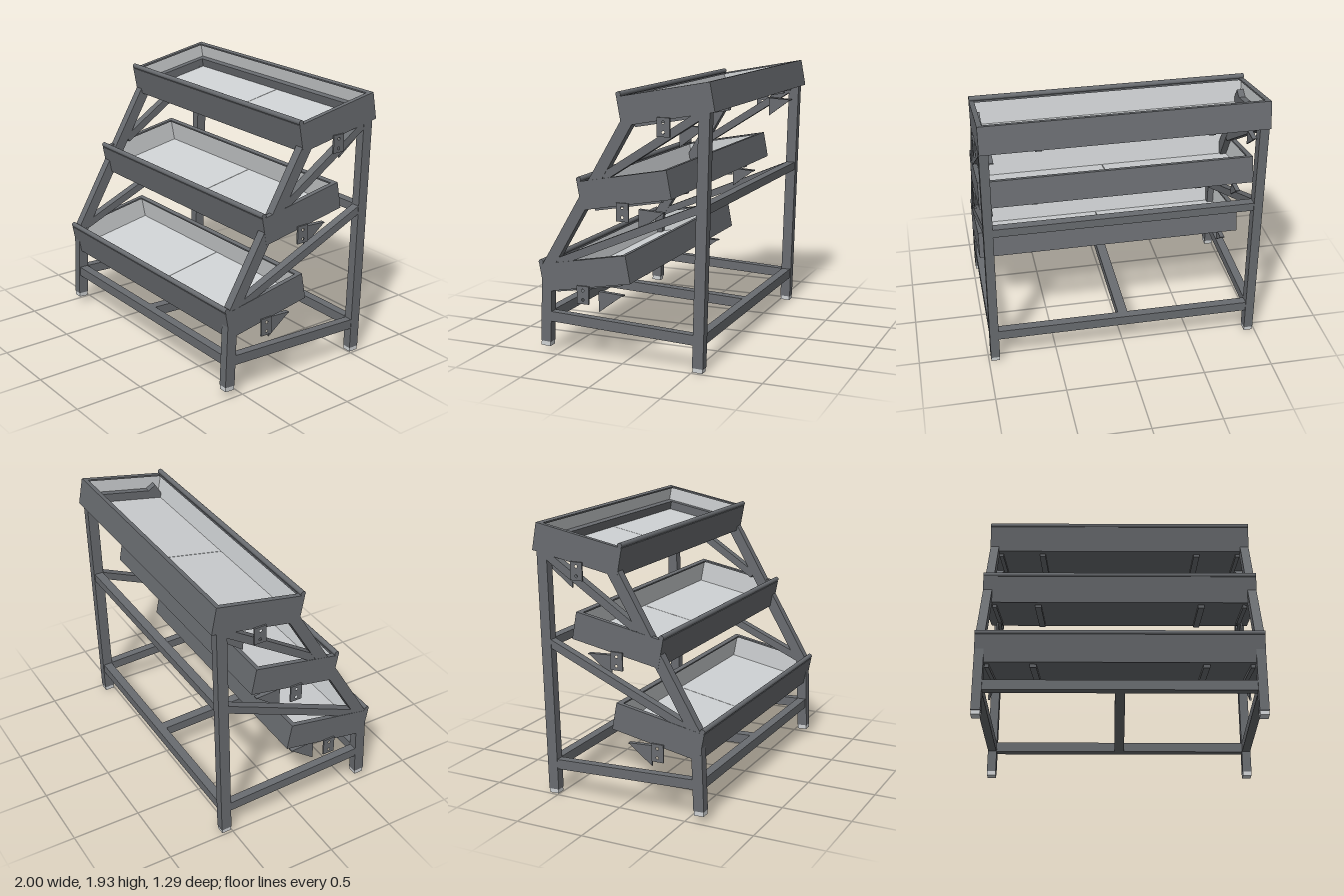
import * as THREE from 'three';

const paint = new THREE.MeshStandardMaterial({ color: 0x696c70 });
paint.name = 'dark grey paint';
const pale = new THREE.MeshStandardMaterial({ color: 0xcfd2d4 });
pale.name = 'pale grey panel';

const TILT = THREE.MathUtils.degToRad(10.5);
const HALF = 0.985;      // half width of the stand
const POST_X = 0.952;    // centre line of the side frames
const DEPTH = 0.665, HEIGHT = 0.195;

function add(parent, name, geometry, material, x = 0, y = 0, z = 0) {
  const mesh = new THREE.Mesh(geometry, material);
  mesh.name = name;
  mesh.position.set(x, y, z);
  parent.add(mesh);
  return mesh;
}

function box(parent, name, size, pos, material = paint) {
  return add(parent, name, new THREE.BoxGeometry(...size), material, ...pos);
}

// Square tube in a side plane, between two [z, y] points
function beam(parent, name, x, a, b, width, thick, material = paint) {
  const dz = b[0] - a[0], dy = b[1] - a[1];
  const mesh = box(parent, name, [width, Math.hypot(dz, dy), thick],
    [x, (a[1] + b[1]) / 2, (a[0] + b[0]) / 2], material);
  mesh.rotation.x = Math.atan2(dz, dy);
  return mesh;
}

// Flat plate drawn in the side plane as [z, y] points, extruded along x
function sidePlate(parent, name, points, holes, thick, x) {
  const shape = new THREE.Shape(points.map(([z, y]) => new THREE.Vector2(-z, y)));
  for (const [z, y, r] of holes) {
    const hole = new THREE.Path();
    hole.absarc(-z, y, r, 0, Math.PI * 2, true);
    shape.holes.push(hole);
  }
  const geo = new THREE.ExtrudeGeometry(shape, { depth: thick, bevelEnabled: false, curveSegments: 6 });
  geo.translate(0, 0, -thick / 2);
  geo.rotateY(Math.PI / 2);
  return add(parent, name, geo, paint, x);
}

// Tilted open tray; its local origin is the top back edge
function makeTray(z, y, framed) {
  const tray = new THREE.Group();
  tray.name = 'tray';
  tray.position.set(0, y, z);
  tray.rotation.x = TILT;
  const t = 0.012, rim = 0.035, mid = DEPTH / 2, W = HALF * 2;

  // Shell
  box(tray, 'trayBottom', [W, t, DEPTH], [0, -HEIGHT + t / 2, mid]);
  for (const end of [0, 1]) {
    const s = end ? -1 : 1, zz = end ? DEPTH : 0;
    box(tray, 'trayEndWall', [W, HEIGHT, t], [0, -HEIGHT / 2, zz + s * t / 2]);
    box(tray, 'trayRim', [W, t, rim], [0, -t / 2, zz + s * rim / 2]);
    box(tray, 'liningEnd', [W - 2 * t, HEIGHT - 2 * t, 0.006],
      [0, -HEIGHT / 2, zz + s * (t + 0.003)], pale);
  }
  for (const s of [-1, 1]) {
    box(tray, 'traySideWall', [t, HEIGHT, DEPTH], [s * (HALF - t / 2), -HEIGHT / 2, mid]);
    box(tray, 'traySideRim', [rim, t, DEPTH], [s * (HALF - rim / 2), -t / 2, mid]);
    box(tray, 'liningSide', [0.006, HEIGHT - 2 * t, DEPTH - 2 * t],
      [s * (HALF - t - 0.003), -HEIGHT / 2, mid], pale);
    // Floor panels with a narrow seam between them
    box(tray, 'floorPanel', [HALF - t - 0.002, 0.008, DEPTH - 2 * t],
      [s * (HALF - t + 0.002) / 2, -HEIGHT + t + 0.004, mid], pale);
    // Runners under the tray
    box(tray, 'runner', [0.045, 0.022, 0.55], [s * 0.59, -HEIGHT - 0.011, 0.325]);
    box(tray, 'sideRunner', [0.03, 0.022, 0.5], [s * 0.905, -HEIGHT - 0.011, 0.35]);
    // Inner tube frame of the highest tray
    if (framed) box(tray, 'innerTube', [0.05, 0.065, DEPTH - 0.1], [s * 0.945, -0.145, mid - 0.04]);
  }
  if (framed) box(tray, 'innerBackTube', [1.94, 0.065, 0.045], [0, -0.145, 0.038]);

  // Round lip along the front edge
  const lip = new THREE.CylinderGeometry(0.018, 0.018, W, 16);
  lip.rotateZ(Math.PI / 2);
  add(tray, 'frontLip', lip, paint, 0, 0.014, DEPTH - 0.016);
  return tray;
}

export function createModel() {
  const model = new THREE.Group();
  model.name = 'tieredDisplayStand';

  // Side frames
  for (const s of [-1, 1]) {
    const frame = new THREE.Group();
    frame.name = s > 0 ? 'leftFrame' : 'rightFrame';
    model.add(frame);
    const x = s * POST_X;
    beam(frame, 'rearLeg', x, [-0.541, 0.03], [-0.583, 1.75], 0.065, 0.077);
    beam(frame, 'rearFoot', x, [-0.54, 0], [-0.541, 0.032], 0.062, 0.07, pale);
    beam(frame, 'frontLeg', x, [0.595, 0.08], [0.573, 0.62], 0.065, 0.077);
    beam(frame, 'frontFoot', x, [0.597, 0.048], [0.595, 0.082], 0.062, 0.07, pale);
    beam(frame, 'slopingPost', x, [0.575, 0.61], [-0.09, 1.735], 0.064, 0.08);
    beam(frame, 'lowerBrace', x, [0.53, 0.64], [-0.55, 1.105], 0.06, 0.055);
    beam(frame, 'upperBrace', x, [0.14, 1.27], [-0.56, 1.72], 0.06, 0.055);
    beam(frame, 'sideRail', x, [0.56, 0.264], [-0.52, 0.221], 0.06, 0.07);
  }

  // Cross rails
  const span = 2 * POST_X - 0.06;
  box(model, 'frontRail', [span, 0.07, 0.065], [0, 0.266, 0.585]);
  box(model, 'rearRail', [span, 0.07, 0.065], [0, 0.222, -0.545]);
  box(model, 'upperRearRail', [span, 0.06, 0.065], [0, 1.1, -0.567]);
  beam(model, 'centreRail', 0, [0.56, 0.264], [-0.52, 0.221], 0.07, 0.07);

  // Trays with their clamp plates and gussets
  for (let i = 0; i < 3; i++) {
    const z = -0.62 + 0.3 * i, y = [1.93, 1.347, 0.75][i];
    model.add(makeTray(z, y, i === 0));
    const pz = [-0.305, -0.008, 0.295][i], py = [1.627, 1.045, 0.447][i];
    const gz = [-0.385, -0.09, 0.213][i], gy = [1.638, 1.058, 0.462][i];
    for (const s of [-1, 1]) {
      sidePlate(model, 'clampPlate',
        [[pz - 0.045, py - 0.063], [pz + 0.045, py - 0.063], [pz + 0.045, py + 0.063], [pz - 0.045, py + 0.063]],
        [[pz, py + 0.033, 0.01], [pz, py - 0.033, 0.01]], 0.012, s * 0.992);
      sidePlate(model, 'gusset', [[gz, gy], [gz - 0.183, gy - 0.01], [gz, gy - 0.147]], [], 0.012, s * 0.914);
      beam(model, 'gussetFlange', s * 0.903, [gz, gy - 0.004], [gz - 0.183, gy - 0.014], 0.033, 0.008);
    }
  }
  return model;
}
